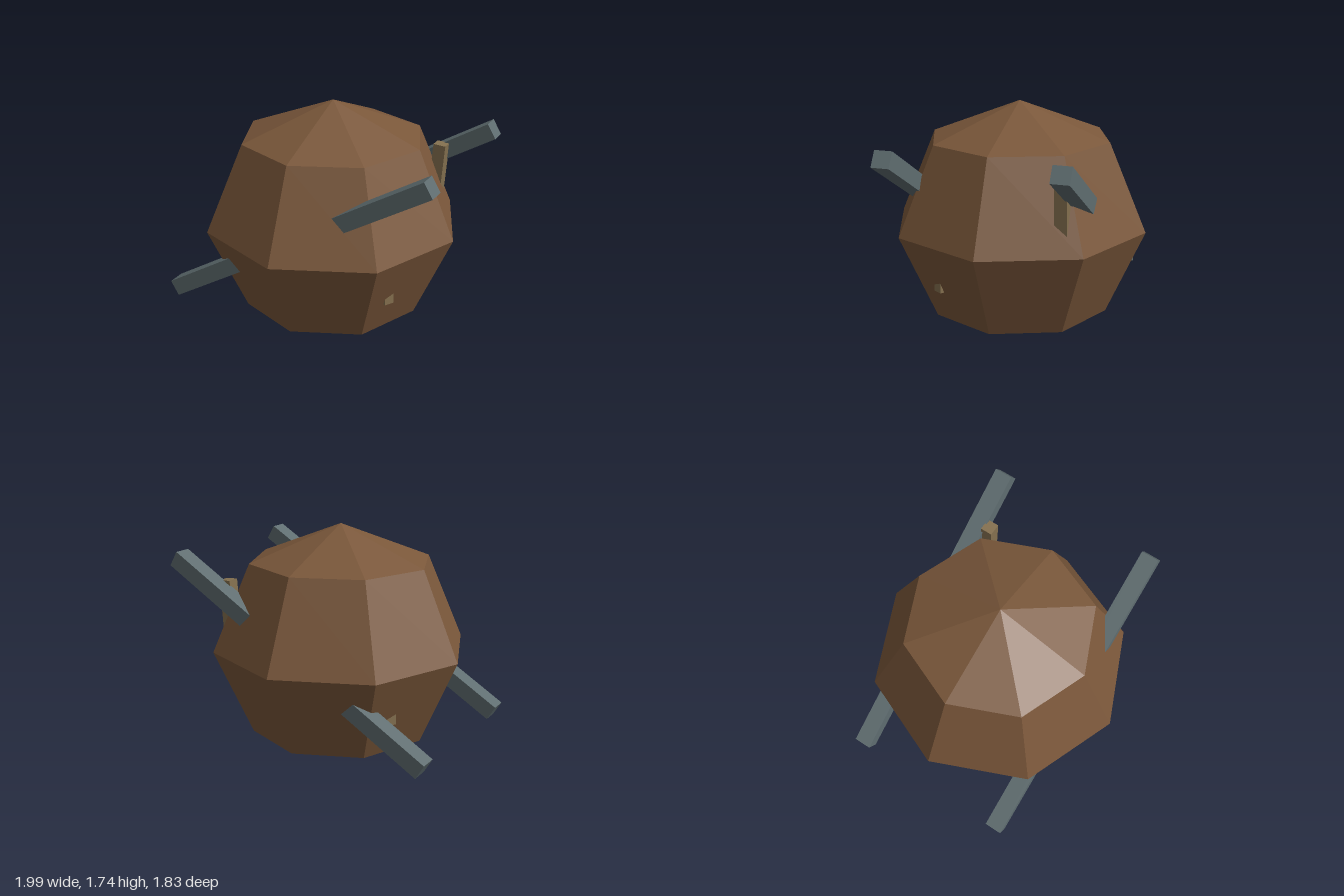
import * as THREE from 'three';

export function createModel() {
  const model = new THREE.Group();
  const material = (name, color) => {
    const m = new THREE.MeshStandardMaterial({ color, flatShading: true });
    m.name = name;
    return m;
  };
  const brown = material('brown', 0x7a573a);
  const steel = material('slate grey', 0x5f6d70);
  const tan = material('tan', 0x84704f);

  const add = (name, geometry, mat, x, y, z) => {
    const mesh = new THREE.Mesh(geometry, mat);
    mesh.name = name;
    mesh.position.set(x, y, z);
    model.add(mesh);
    return mesh;
  };

  // Faceted body, slightly squashed in height
  const body = add('body', new THREE.SphereGeometry(0.915, 8, 4), brown, 0, 0.87, 0);
  body.scale.y = 0.87 / 0.915;

  // Two slanted beams running right through the body
  for (const side of [1, -1]) {
    const name = side > 0 ? 'frontBeam' : 'backBeam';
    const beam = add(name, new THREE.BoxGeometry(2.25, 0.117, 0.125), steel, 0, 0.924, side * 0.583);
    beam.rotation.z = THREE.MathUtils.degToRad(30.8);
  }

  // Thin crossbar whose tips poke out low on both sides
  const crossbar = add('crossbar', new THREE.BoxGeometry(1.46, 0.07, 0.07), tan, 0, 0.537, 0);
  crossbar.rotation.y = THREE.MathUtils.degToRad(-31.5);

  // Upright peg beside the back beam
  const peg = add('peg', new THREE.BoxGeometry(0.09, 0.45, 0.085), tan, 0.6, 1.14, -0.49);
  peg.rotation.z = THREE.MathUtils.degToRad(-4);

  return model;
}
